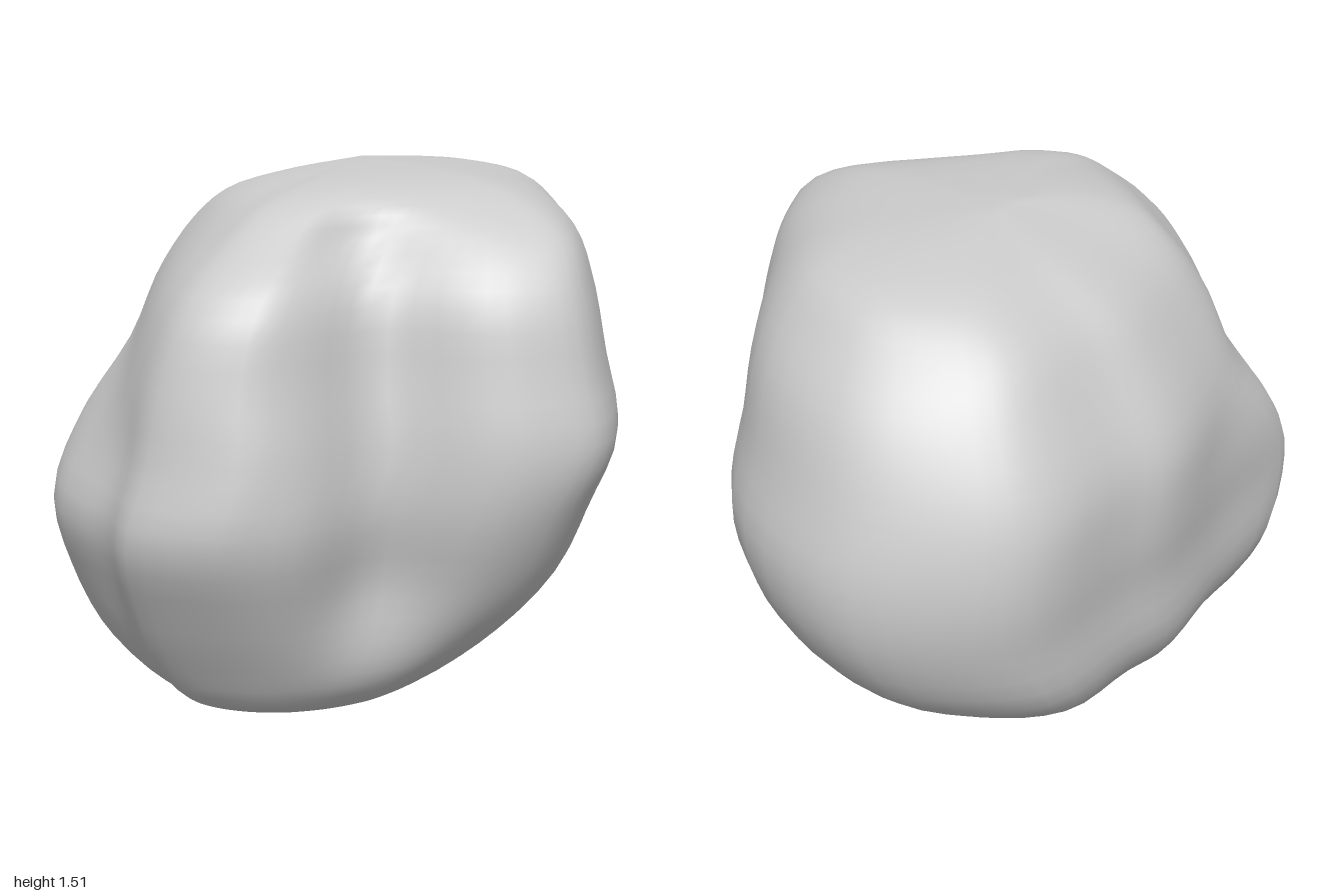
import * as THREE from 'three';
import { mergeVertices } from 'three/addons/utils/BufferGeometryUtils.js';

// Plan outlines [x, z], counter-clockwise from the back; matching points share an index
const MID = [[-0.22, -1], [-0.5, -0.9], [-0.68, -0.73], [-0.74, -0.4], [-0.79, -0.2], [-0.77, 0.15],
  [-0.76, 0.58], [-0.61, 0.76], [-0.43, 0.86], [-0.25, 0.92], [-0.1, 1], [0.14, 0.94], [0.26, 0.82],
  [0.4, 0.66], [0.55, 0.49], [0.7, 0.33], [0.79, 0.17], [0.69, -0.12], [0.5, -0.42], [0.17, -0.86]];
const variant = (start, points) => {
  const outline = [...MID];
  outline.splice(start, points.length, ...points);
  return outline;
};
// Upper part: front corner cut away above a ledge
const UPPER = variant(5, [[-0.75, 0.12], [-0.69, 0.36], [-0.57, 0.52], [-0.42, 0.7], [-0.23, 0.89], [-0.05, 1]]);
// Underside: fuller, rounder flank
const LOWER = variant(11, [[0.16, 0.95], [0.36, 0.84], [0.52, 0.69], [0.65, 0.52], [0.75, 0.32],
  [0.79, 0.08], [0.75, -0.2], [0.6, -0.52], [0.24, -0.87]]);

// Levels: [y, xMin, xMax, zMin, zMax, shape] with shape 0 lower, 1 middle, 2 upper
const LEVELS = [
  [0, -0.2, 0.0, 0.05, 0.4, 0],
  [0.03, -0.38, 0.18, -0.1, 0.62, 0],
  [0.08, -0.5, 0.28, -0.32, 0.72, 0],
  [0.2, -0.67, 0.43, -0.58, 0.81, 0.15],
  [0.38, -0.76, 0.59, -0.83, 0.91, 0.45],
  [0.6, -0.77, 0.71, -0.97, 1, 0.8],
  [0.8, -0.79, 0.79, -1, 0.96, 1.35],
  [1.0, -0.78, 0.75, -0.95, 0.92, 2],
  [1.2, -0.68, 0.7, -0.87, 0.84, 2],
  [1.34, -0.58, 0.62, -0.76, 0.66, 1.8],
  [1.43, -0.44, 0.47, -0.66, 0.5, 1.4],
  [1.48, -0.28, 0.28, -0.46, 0.28, 1],
];
const COLUMNS = 72, ROWS = 44;

function ring([y, x0, x1, z0, z1, shape]) {
  const [a, b, t] = shape < 1 ? [LOWER, MID, shape] : [MID, UPPER, shape - 1];
  const points = a.map((p, i) => new THREE.Vector3(
    THREE.MathUtils.lerp(p[0], b[i][0], t), 0, THREE.MathUtils.lerp(p[1], b[i][1], t)));
  const box = new THREE.Box3().setFromPoints(points);
  const curve = new THREE.CatmullRomCurve3(points, true);
  return Array.from({ length: COLUMNS }, (_, i) => {
    const p = curve.getPoint(i / COLUMNS);
    return new THREE.Vector3(
      THREE.MathUtils.mapLinear(p.x, box.min.x, box.max.x, x0, x1), y,
      THREE.MathUtils.mapLinear(p.z, box.min.z, box.max.z, z0, z1));
  });
}

// Upright groove between the front lobe and the side lobe
function carveGroove(p) {
  const out = 0.76 * p.x + 0.65 * p.z, along = 0.76 * p.z - 0.65 * p.x;
  const { smoothstep } = THREE.MathUtils;
  const depth = 0.14 * Math.exp(-(((along - 0.17) / 0.18) ** 2)) * smoothstep(out, 0.15, 0.5)
    * smoothstep(p.y, 0.1, 0.5) * (1 - smoothstep(p.y, 1.3, 1.5));
  p.x -= 0.76 * depth;
  p.z -= 0.65 * depth;
}

function boulderGeometry() {
  const rings = LEVELS.map(ring);
  const bottom = new THREE.Vector3(-0.1, 0, 0.22);
  const top = new THREE.Vector3(-0.15, 1.51, -0.1);
  const positions = [], index = [];
  // Each column is a smooth line from the underside to the crown
  for (let i = 0; i < COLUMNS; i++) {
    const column = new THREE.CatmullRomCurve3([bottom, ...rings.map((r) => r[i]), top]);
    for (const p of column.getPoints(ROWS)) {
      carveGroove(p);
      positions.push(p.x, Math.max(0, p.y), p.z);
    }
  }
  const n = ROWS + 1;
  for (let i = 0; i < COLUMNS; i++) {
    const a = i * n, b = ((i + 1) % COLUMNS) * n;
    for (let j = 0; j < ROWS; j++) {
      if (j > 0) index.push(a + j, b + j, b + j + 1);
      else index.push(a, b + 1, a + 1);
      if (j > 0 && j < ROWS - 1) index.push(a + j, b + j + 1, a + j + 1);
      if (j === ROWS - 1) index.splice(-3, 3, a + j, b + j, a + j + 1);
    }
  }
  const geometry = new THREE.BufferGeometry();
  geometry.setAttribute('position', new THREE.Float32BufferAttribute(positions, 3));
  geometry.setIndex(index);
  const merged = mergeVertices(geometry, 1e-5);
  merged.computeVertexNormals();
  return merged;
}

export function createModel() {
  const group = new THREE.Group();
  group.name = 'rock';
  const boulder = new THREE.Mesh(boulderGeometry(), new THREE.MeshStandardMaterial({ color: 0xcccccc }));
  boulder.name = 'boulder';
  group.add(boulder);
  return group;
}
